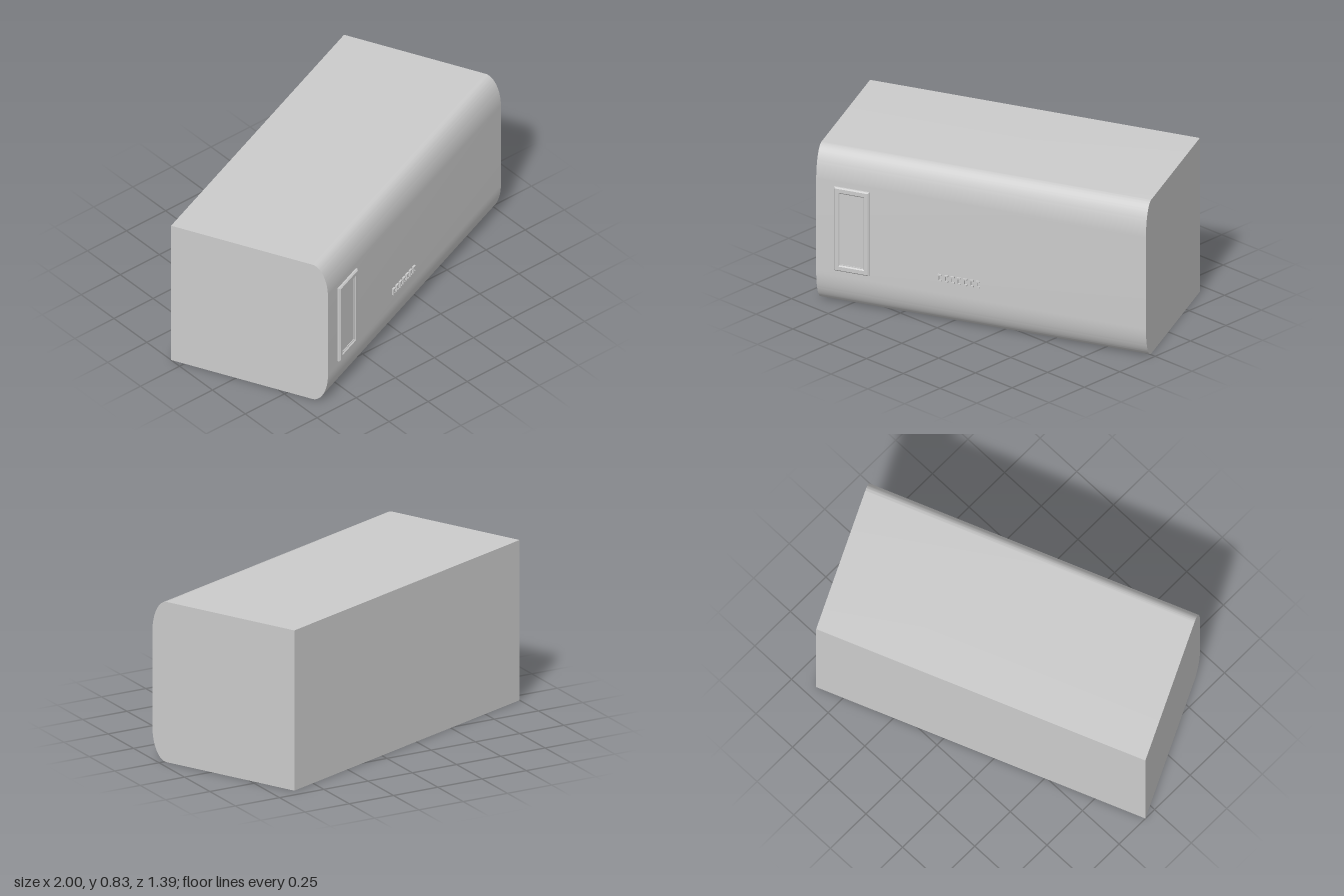
import * as THREE from 'three';
import { toCreasedNormals } from 'three/addons/utils/BufferGeometryUtils.js';

const HEIGHT = 0.83;
const grey = new THREE.MeshStandardMaterial({ color: 0xcccccc });

function addMesh(parent, name, geometry) {
  const mesh = new THREE.Mesh(geometry, grey);
  mesh.name = name;
  parent.add(mesh);
  return mesh;
}

function rectangle(Type, x0, y0, x1, y1) {
  return new Type([[x0, y0], [x1, y0], [x1, y1], [x0, y1]].map(([x, y]) => new THREE.Vector2(x, y)));
}

// Side profile with rounded front edges, swept along the skewed long axis
function bodyGeometry() {
  const rx = 0.1, ry = 0.17;
  const profile = new THREE.Shape();
  profile.moveTo(0, 0);
  profile.lineTo(1 - rx, 0);
  profile.absellipse(1 - rx, ry, rx, ry, -Math.PI / 2, 0, false);
  profile.lineTo(1, HEIGHT - ry);
  profile.absellipse(1 - rx, HEIGHT - ry, rx, ry, 0, Math.PI / 2, false);
  profile.lineTo(0, HEIGHT);
  const geometry = new THREE.ExtrudeGeometry(profile, { depth: 1, bevelEnabled: false, curveSegments: 14 });
  geometry.applyMatrix4(new THREE.Matrix4().makeBasis(
    new THREE.Vector3(0.365, 0, 0.76),
    new THREE.Vector3(0, 1, 0),
    new THREE.Vector3(-1.635, 0, 0.63)
  ).setPosition(0.635, 0, -0.695));
  return toCreasedNormals(geometry, 0.5);
}

export function createModel() {
  const model = new THREE.Group();
  addMesh(model, 'body', bodyGeometry());

  // Details sit in the plane of the front wall: x along it, z outwards
  const front = new THREE.Group();
  front.name = 'frontDetails';
  front.position.set(-0.635, 0, 0.695);
  front.rotation.y = Math.atan2(0.63, 1.635);
  model.add(front);

  // Window: bevelled outer frame, thin inner rim and pane
  const frame = rectangle(THREE.Shape, 0.105, 0.2, 0.278, 0.638);
  frame.holes.push(rectangle(THREE.Path, 0.122, 0.22, 0.261, 0.618));
  addMesh(front, 'windowFrame', new THREE.ExtrudeGeometry(frame, {
    depth: 0.008, bevelThickness: 0.006, bevelSize: 0.006, bevelSegments: 1
  }));
  const rim = rectangle(THREE.Shape, 0.12, 0.215, 0.263, 0.623);
  rim.holes.push(rectangle(THREE.Path, 0.132, 0.23, 0.251, 0.608));
  addMesh(front, 'windowRim', new THREE.ExtrudeGeometry(rim, { depth: 0.008, bevelEnabled: false }));
  const pane = addMesh(front, 'windowPane', new THREE.BoxGeometry(0.13, 0.39, 0.004));
  pane.position.set(0.1915, 0.419, 0.002);

  // Row of small hooked vents
  const vent = new THREE.Shape([
    [0, 0], [0.021, 0], [0.021, 0.007], [0.007, 0.007],
    [0.007, 0.03], [0.021, 0.03], [0.021, 0.037], [0, 0.037]
  ].map(([x, y]) => new THREE.Vector2(x, y)));
  const ventGeometry = new THREE.ExtrudeGeometry(vent, { depth: 0.01, bevelEnabled: false });
  for (let i = 0; i < 7; i++) {
    addMesh(front, 'vent' + (i + 1), ventGeometry).position.set(0.648 + i * 0.0338, 0.233, 0);
  }
  return model;
}
